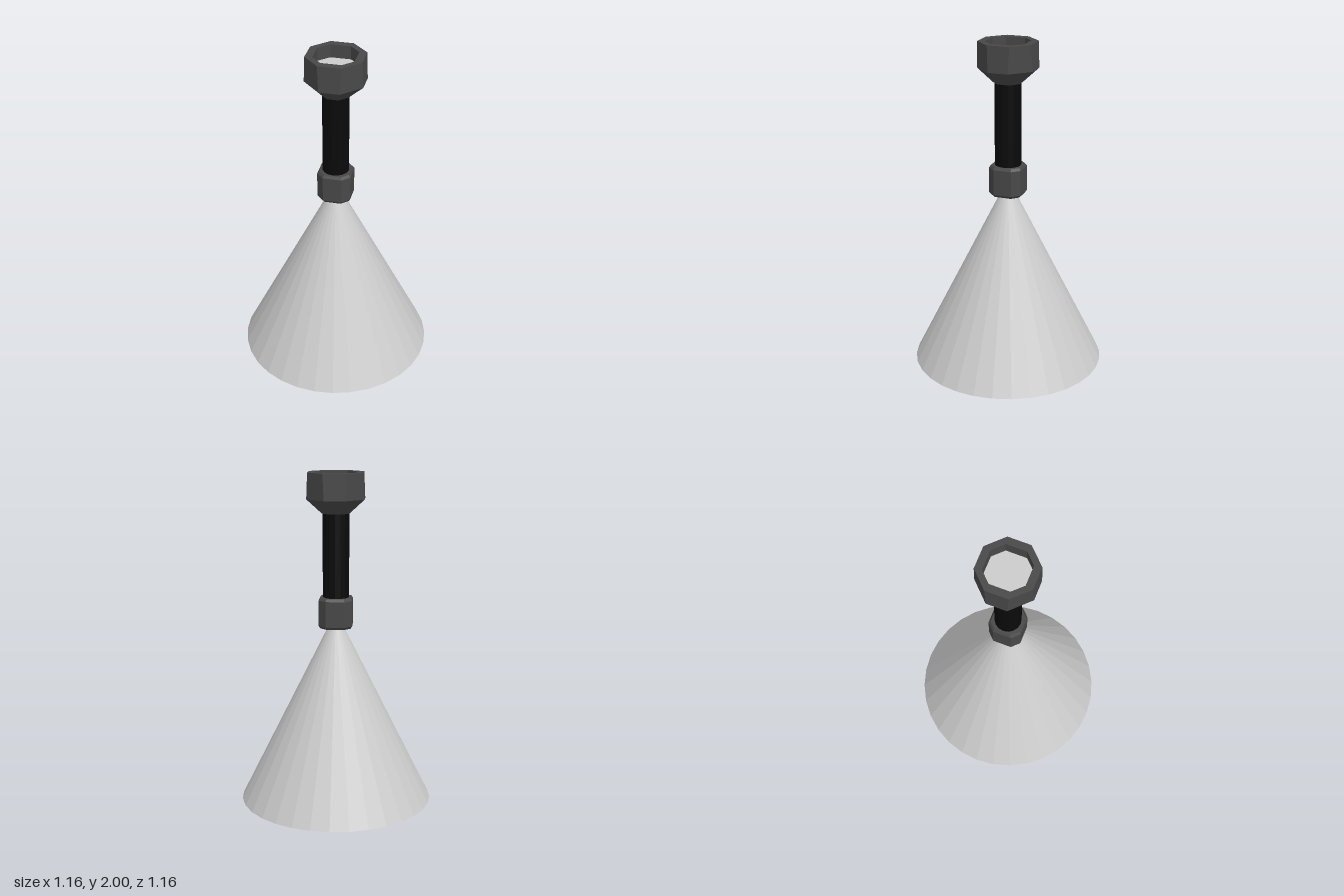
import * as THREE from 'three';

const darkGrey = 0x484848, black = 0x0a0a0a, paleGrey = 0xcccccc;

function addMesh(group, name, geometry, color, side = THREE.FrontSide) {
  const material = new THREE.MeshStandardMaterial({ color, flatShading: true, side });
  const mesh = new THREE.Mesh(geometry, material);
  mesh.name = name;
  group.add(mesh);
  return mesh;
}

// Octagon with its axis sides at distance a and half-width h, at height y
function octagon([y, a, h]) {
  return [[h, a], [a, h], [a, -h], [h, -a], [-h, -a], [-a, -h], [-a, h], [-h, a]]
    .map(([x, z]) => [x, y, z]);
}

// Joins octagonal sections in order, optionally closing the first and last
function octagonLoft(sections, capStart, capEnd) {
  const rings = sections.map(octagon);
  const points = [];
  const triangle = (a, b, c) => points.push(...a, ...b, ...c);
  for (let i = 0; i + 1 < rings.length; i++) {
    const low = rings[i], high = rings[i + 1];
    for (let j = 0; j < 8; j++) {
      const k = (j + 1) % 8;
      triangle(low[j], low[k], high[k]);
      triangle(low[j], high[k], high[j]);
    }
  }
  const first = rings[0], last = rings[rings.length - 1];
  for (let j = 1; j < 7; j++) {
    if (capStart) triangle(first[0], first[j + 1], first[j]);
    if (capEnd) triangle(last[0], last[j], last[j + 1]);
  }
  const geometry = new THREE.BufferGeometry();
  geometry.setAttribute('position', new THREE.Float32BufferAttribute(points, 3));
  geometry.computeVertexNormals();
  return geometry;
}

export function createModel() {
  const model = new THREE.Group();
  model.name = 'flashlight';

  // Open cone spreading below the tail
  const cone = addMesh(model, 'cone',
    new THREE.CylinderGeometry(0.03, 0.582, 1.11, 32, 1, true), paleGrey, THREE.DoubleSide);
  cone.position.y = 0.555;

  // Tail cap with chamfered ends
  addMesh(model, 'tailCap', octagonLoft([
    [1.075, 0.09, 0.05], [1.09, 0.1, 0.056], [1.245, 0.1, 0.056], [1.26, 0.09, 0.05],
  ], true, true), darkGrey);

  // Handle
  const handle = addMesh(model, 'handle',
    new THREE.CylinderGeometry(0.079, 0.079, 0.52, 16), black);
  handle.position.y = 1.51;

  // Flared head, rim and the wall of its recess
  addMesh(model, 'head', octagonLoft([
    [1.76, 0.08, 0.035], [1.845, 0.17, 0.06], [2, 0.163, 0.067],
    [2, 0.12, 0.06], [1.92, 0.12, 0.06],
  ], true, false), darkGrey);

  // Lens at the bottom of the recess
  addMesh(model, 'lens', octagonLoft([[1.92, 0.12, 0.06]], false, true), paleGrey);

  return model;
}
